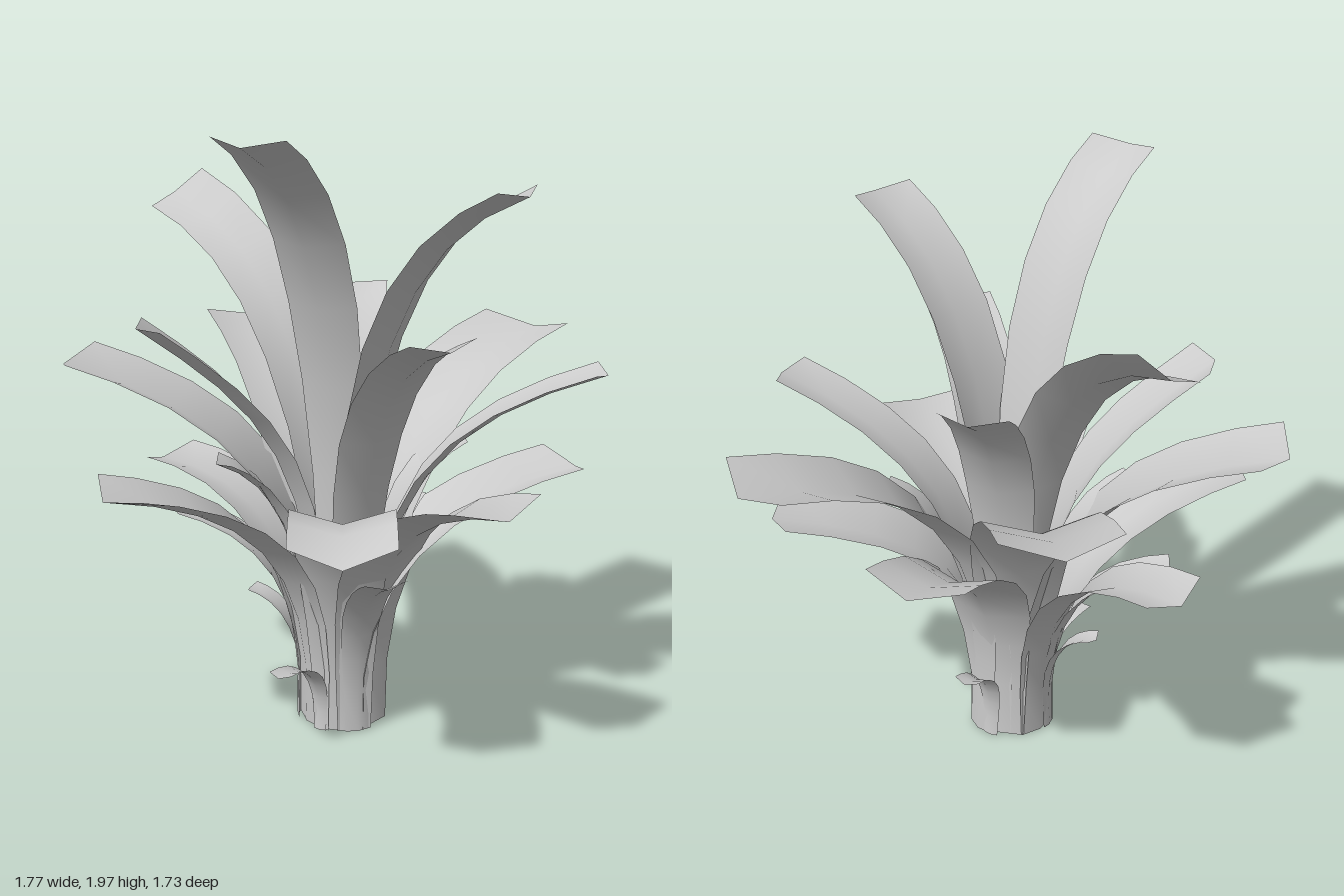
import * as THREE from 'three';

// Each leaf: name, tip x, tip y, tip z, width at the tip,
// height of the bend as a share of the tip height (above 1 droops),
// and optionally roll, root x and root z
const LEAVES = [
  // tall inner leaves
  ['tallLeaf', -0.5, 1.97, 0.49, 0.25, 0.93],
  ['tallLeaf', 0.34, 1.81, 0.62, 0.24, 0.91],
  ['tallLeaf', -0.35, 1.69, -0.75, 0.23, 0.92, 0.55],
  ['tallLeaf', 0.07, 1.38, 0.68, 0.24, 0.93],
  ['tallLeaf', 0.17, 1.4, -0.37, 0.24, 0.9],
  ['tallLeaf', -0.7, 1.38, 0.03, 0.25, 0.79, 0, -0.04, 0.05],
  // broad middle leaves
  ['broadLeaf', -0.04, 1.21, -0.87, 0.37, 0.9],
  ['broadLeaf', 0.86, 1.2, -0.34, 0.37, 0.93],
  ['broadLeaf', -0.85, 1.2, -0.35, 0.36, 0.88],
  ['broadLeaf', 0.69, 1.22, 0.5, 0.21, 0.87],
  ['broadLeaf', 0.38, 0.91, -0.53, 0.34, 0.92],
  ['broadLeaf', -0.48, 0.8, -0.52, 0.26, 1],
  ['broadLeaf', 0.76, 0.83, 0.18, 0.32, 0.91, 0, -0.14, 0.14],
  ['broadLeaf', -0.86, 0.89, 0.2, 0.34, 0.9],
  ['broadLeaf', -0.32, 0.81, 0.82, 0.32, 1.27],
  ['broadLeaf', 0.18, 0.91, 0.86, 0.34, 0.92],
  // narrower leaves
  ['narrowLeaf', 0.39, 0.94, 0.1, 0.18, 0.92],
  ['narrowLeaf', -0.46, 0.93, 0.06, 0.17, 0.92],
  ['narrowLeaf', -0.06, 0.74, 0.47, 0.13, 0.9],
  ['narrowLeaf', -0.05, 0.61, 0.51, 0.14, 0.88],
  ['narrowLeaf', 0.27, 0.72, -0.1, 0.2, 0.92],
  ['narrowLeaf', -0.53, 0.71, -0.18, 0.18, 0.92],
  // small curled leaves low on the trunk
  ['smallLeaf', -0.35, 0.29, 0.33, 0.08, 1],
  ['smallLeaf', -0.3, 0.43, -0.12, 0.09, 0.95],
  ['smallLeaf', 0.16, 0.33, -0.17, 0.09, 0.95],
];

// An arching strip with a shallow V section and a pointed, blunt tip
function leafGeometry(tip, root, width, bend, roll) {
  const h = tip.y, rows = 8;
  const out = new THREE.Vector3(tip.x - root.x, 0, tip.z - root.z);
  const reach = out.length();
  out.normalize();
  const across = new THREE.Vector3(out.z, 0, -out.x);
  const r = THREE.MathUtils.clamp(0.21 - 0.1 * h, 0.02, 0.14); // tall leaves sit further in
  const at = (radius, y) => root.clone().addScaledVector(out, radius).setY(y);
  const path = new THREE.CubicBezierCurve3(
    at(r + 0.015, 0.02), at(r - 0.015, h * 0.67), at(r + (reach - r) * 0.33, h * bend), at(reach, h));

  const pos = [], index = [];
  for (let i = 0; i <= rows; i++) {
    const t = i / rows;
    const p = path.getPoint(t), tangent = path.getTangent(t);
    const side = across.clone().applyAxisAngle(tangent, -roll * t);
    const normal = new THREE.Vector3().crossVectors(tangent, side).normalize();
    const w = width * (0.58 + 0.42 * THREE.MathUtils.smoothstep(t, 0, 0.6));
    for (const s of [-1, 0, 1]) {
      const v = p.clone().addScaledVector(side, s * w / 2);
      if (s) v.addScaledVector(normal, w * 0.14);
      if (s && i === rows) v.addScaledVector(tangent, -w * 0.13);
      pos.push(v.x, v.y, v.z);
    }
    if (i < rows) {
      for (let j = 0; j < 2; j++) {
        const a = i * 3 + j;
        index.push(a, a + 3, a + 1, a + 1, a + 3, a + 4);
      }
    }
  }
  const g = new THREE.BufferGeometry();
  g.setAttribute('position', new THREE.Float32BufferAttribute(pos, 3));
  g.setIndex(index);
  g.computeVertexNormals();
  return g;
}

export function createModel() {
  const group = new THREE.Group();
  group.name = 'leafyPlant';
  const material = new THREE.MeshStandardMaterial({ color: 0xcccccc, side: THREE.DoubleSide });
  for (const [name, x, y, z, width, bend, roll = 0, rootX = -0.04, rootZ = 0.08] of LEAVES) {
    const tip = new THREE.Vector3(x, y, z), root = new THREE.Vector3(rootX, 0, rootZ);
    const leaf = new THREE.Mesh(leafGeometry(tip, root, width, bend, roll), material);
    leaf.name = name;
    group.add(leaf);
  }
  return group;
}
